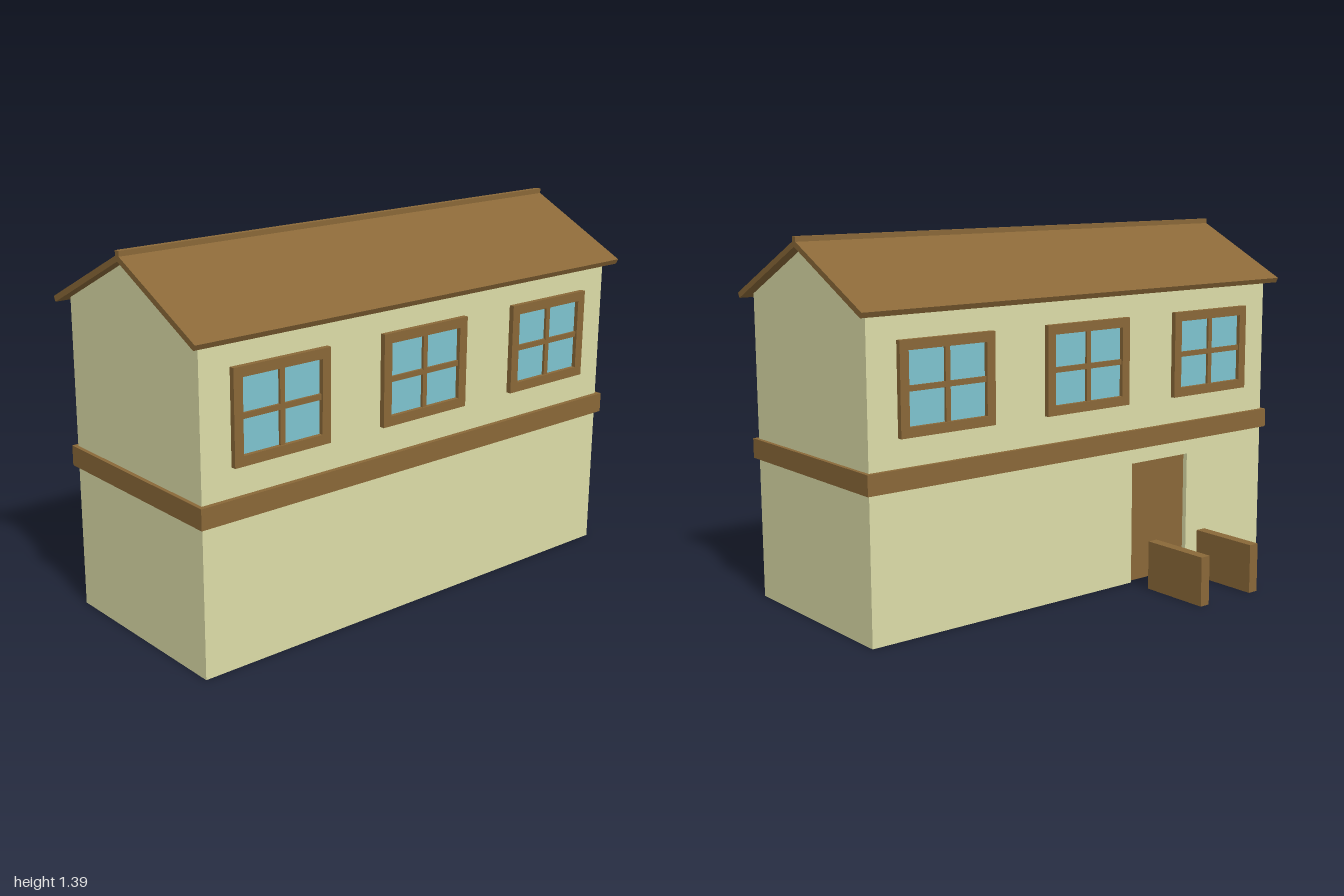
import * as THREE from 'three';

const wallMat = new THREE.MeshStandardMaterial({ color: 0xdddda8, side: THREE.DoubleSide });
const woodMat = new THREE.MeshStandardMaterial({ color: 0x8a6838 });
const glassMat = new THREE.MeshStandardMaterial({ color: 0x7ec4d0 });

const W = 0.96, Z_FRONT = 0.555, Z_BACK = -0.21, Z_RIDGE = 0.1725;
const EAVE = 1.16, RIDGE = 1.352;
const DOOR = { x0: -0.535, x1: -0.237, h: 0.48, depth: 0.02 };

// Box given by its extents on each axis
function box(name, mat, [x0, x1], [y0, y1], [z0, z1]) {
  const mesh = new THREE.Mesh(new THREE.BoxGeometry(x1 - x0, y1 - y0, z1 - z0), mat);
  mesh.position.set((x0 + x1) / 2, (y0 + y1) / 2, (z0 + z1) / 2);
  mesh.name = name;
  return mesh;
}

function shapeFrom(points) {
  return new THREE.Shape(points.map(([x, y]) => new THREE.Vector2(x, y)));
}

// Thin shell walls, open at the bottom
function makeWalls() {
  const g = new THREE.Group();
  g.name = 'walls';
  const add = (name, geo) => {
    const mesh = new THREE.Mesh(geo, wallMat);
    mesh.name = name;
    g.add(mesh);
  };

  add('frontWall', new THREE.PlaneGeometry(2 * W, EAVE).translate(0, EAVE / 2, Z_FRONT));

  // Back wall with a doorway cut up from the ground
  const back = shapeFrom([
    [-W, 0], [DOOR.x0, 0], [DOOR.x0, DOOR.h], [DOOR.x1, DOOR.h], [DOOR.x1, 0],
    [W, 0], [W, EAVE], [-W, EAVE],
  ]);
  add('backWall', new THREE.ShapeGeometry(back).scale(-1, 1, 1).rotateY(Math.PI).translate(0, 0, Z_BACK));

  // Gable ends: shape x runs along -z
  const gable = shapeFrom([
    [-Z_FRONT, 0], [-Z_BACK, 0], [-Z_BACK, EAVE], [-Z_RIDGE, RIDGE], [-Z_FRONT, EAVE],
  ]);
  add('leftGable', new THREE.ShapeGeometry(gable).rotateY(Math.PI / 2).translate(W, 0, 0));
  const mirrored = shapeFrom([
    [Z_BACK, 0], [Z_FRONT, 0], [Z_FRONT, EAVE], [Z_RIDGE, RIDGE], [Z_BACK, EAVE],
  ]);
  add('rightGable', new THREE.ShapeGeometry(mirrored).rotateY(-Math.PI / 2).translate(-W, 0, 0));

  // Doorway reveals
  const { x0, x1, h, depth } = DOOR;
  for (const x of [x0, x1]) {
    add('doorJamb', new THREE.PlaneGeometry(depth, h).rotateY(x === x0 ? Math.PI / 2 : -Math.PI / 2)
      .translate(x, h / 2, Z_BACK + depth / 2));
  }
  add('doorHead', new THREE.PlaneGeometry(x1 - x0, depth).rotateX(Math.PI / 2)
    .translate((x0 + x1) / 2, h, Z_BACK + depth / 2));
  return g;
}

// Four-pane window facing +z, standing on z = 0
function makeWindow() {
  const g = new THREE.Group();
  g.name = 'window';
  const hw = 0.2, hh = 0.168, b = 0.036, d = 0.02;
  const frame = shapeFrom([[-hw, -hh], [hw, -hh], [hw, hh], [-hw, hh]]);
  const iw = hw - b, ih = hh - b;
  frame.holes.push(new THREE.Path(
    [[-iw, -ih], [-iw, ih], [iw, ih], [iw, -ih]].map(([x, y]) => new THREE.Vector2(x, y))));
  const frameMesh = new THREE.Mesh(
    new THREE.ExtrudeGeometry(frame, { depth: d, bevelEnabled: false }), woodMat);
  frameMesh.name = 'windowFrame';
  g.add(frameMesh);
  g.add(box('glass', glassMat, [-iw, iw], [-ih, ih], [0, 0.004]));
  g.add(box('verticalBar', woodMat, [-0.01, 0.01], [-ih, ih], [0, 0.014]));
  g.add(box('horizontalBar', woodMat, [-iw, iw], [-0.01, 0.01], [0, 0.0135]));
  return g;
}

// Two sloping slabs as one chevron profile, with a ridge cap
function makeRoof() {
  const g = new THREE.Group();
  g.name = 'roof';
  const chevron = shapeFrom([
    [0, 1.375], [-0.427, 1.162], [-0.417, 1.143], [0, 1.352], [0.417, 1.143], [0.427, 1.162],
  ]);
  const slabs = new THREE.Mesh(
    new THREE.ExtrudeGeometry(chevron, { depth: 2, bevelEnabled: false })
      .rotateY(Math.PI / 2).translate(-1, 0, Z_RIDGE), woodMat);
  slabs.name = 'roofSlabs';
  g.add(slabs);
  g.add(box('ridgeCap', woodMat, [-1, 1], [1.36, 1.388], [Z_RIDGE - 0.011, Z_RIDGE + 0.011]));
  return g;
}

export function createModel() {
  const model = new THREE.Group();
  model.name = 'house';
  model.add(makeWalls(), makeRoof());

  // Timber band, which also closes the lower storey as a floor
  model.add(box('timberBand', woodMat, [-0.975, 0.975], [0.54, 0.615], [-0.227, 0.573]));

  // Three windows on each long side
  for (const x of [-0.64, 0, 0.64]) {
    const front = makeWindow();
    front.position.set(x, 0.888, Z_FRONT);
    const back = makeWindow();
    back.rotation.y = Math.PI;
    back.position.set(x, 0.888, Z_BACK);
    model.add(front, back);
  }

  // Recessed back door
  model.add(box('door', woodMat, [DOOR.x0, DOOR.x1], [0, DOOR.h],
    [Z_BACK + DOOR.depth, Z_BACK + DOOR.depth + 0.015]));

  // Low side walls of the path to the door
  for (const x of [-0.519, -0.256]) {
    model.add(box('pathWall', woodMat, [x - 0.021, x + 0.021], [0, 0.19], [-0.597, -0.31]));
  }
  return model;
}
